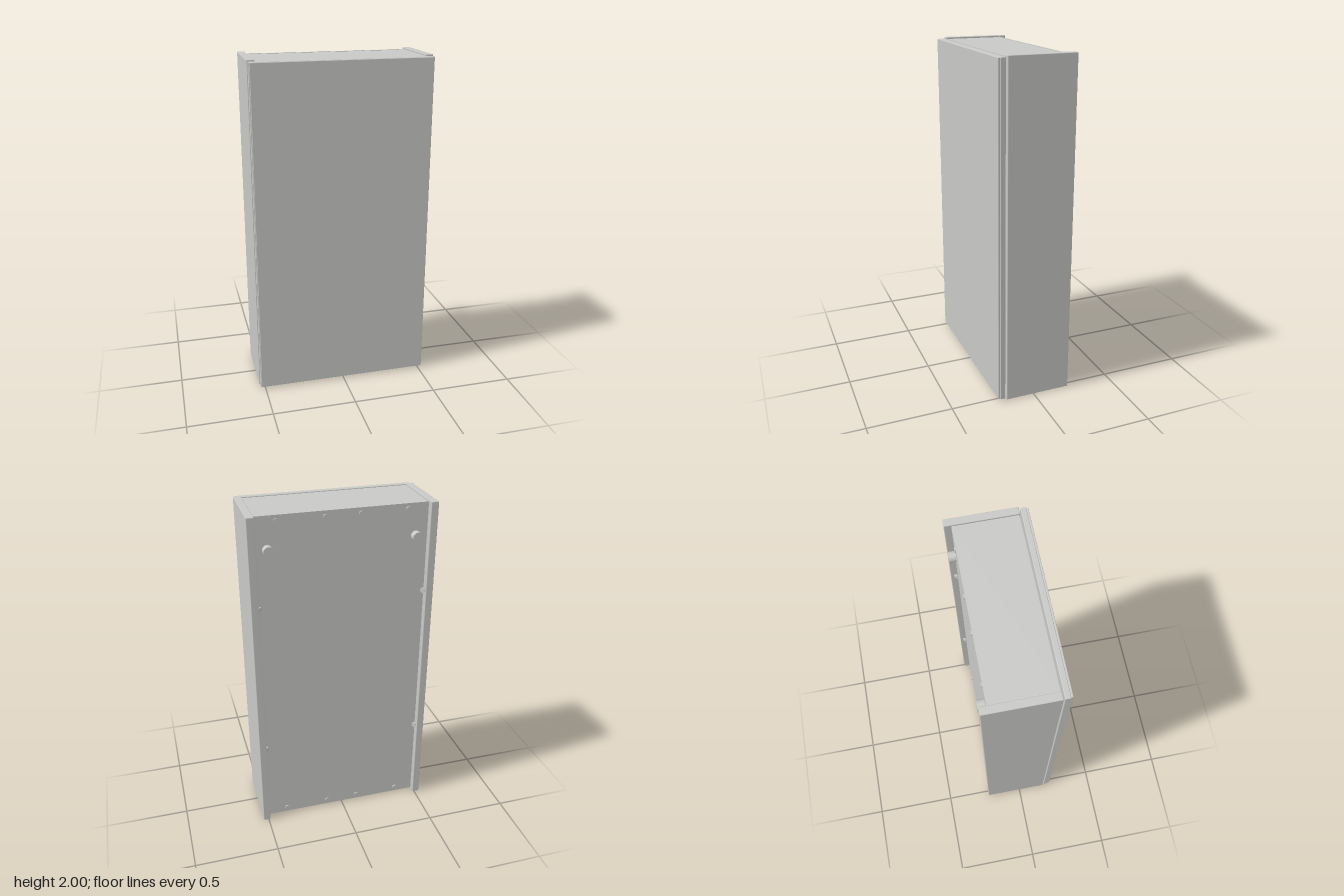
import * as THREE from 'three';
import { RoundedBoxGeometry } from 'three/addons/geometries/RoundedBoxGeometry.js';

export function createModel() {
  const cabinet = new THREE.Group();
  cabinet.name = 'wallCabinet';
  const grey = new THREE.MeshStandardMaterial({ color: 0xc8c8c6 });
  grey.name = 'light grey';

  function add(name, geometry, x, y, z) {
    const mesh = new THREE.Mesh(geometry, grey);
    mesh.name = name;
    mesh.position.set(x, y, z);
    cabinet.add(mesh);
    return mesh;
  }

  // Board given by its lower and upper limits, with softened edges if r > 0
  function board(name, [x0, x1], [y0, y1], [z0, z1], r = 0) {
    const size = [x1 - x0, y1 - y0, z1 - z0];
    const geometry = r ? new RoundedBoxGeometry(...size, 2, r) : new THREE.BoxGeometry(...size);
    return add(name, geometry, (x0 + x1) / 2, (y0 + y1) / 2, (z0 + z1) / 2);
  }

  // Disc or peg whose axis points to the back
  function peg(name, radius, depth, x, y, z) {
    const geometry = new THREE.CylinderGeometry(radius, radius, depth, 24).rotateX(Math.PI / 2);
    return add(name, geometry, x, y, z);
  }

  // Carcass
  board('rightSidePanel', [-0.532, -0.488], [0, 2], [-0.225, 0.172], 0.004);
  board('leftSidePanel', [0.488, 0.532], [0, 2], [-0.225, 0.172], 0.004);
  board('topPanel', [-0.488, 0.488], [1.946, 1.99], [-0.175, 0.168]);
  board('bottomPanel', [-0.488, 0.488], [0.01, 0.054], [-0.175, 0.168]);
  board('backPanel', [-0.505, 0.505], [0.008, 1.992], [-0.186, -0.174]);

  // Door leaf with its front sheet
  board('doorLeaf', [-0.528, 0.528], [0.008, 1.992], [0.18, 0.211], 0.004);
  board('doorFrontSheet', [-0.523, 0.523], [0.01, 1.99], [0.211, 0.222], 0.003);

  // Hinges on the right side
  for (const y of [0.28, 1.72]) board('hinge', [-0.488, -0.41], [y - 0.03, y + 0.03], [0.12, 0.181]);

  for (const side of [-1, 1]) {
    // Wall spacers
    peg('wallSpacer', 0.029, 0.042, side * 0.42, 1.805, -0.205);

    // Screws along the top and bottom of the back
    for (const x of [0.1, 0.37]) {
      for (const y of [0.04, 1.96]) peg('backScrew', 0.014, 0.008, side * x, y, -0.189);
    }

    // Angled screws into the sides
    for (const y of [0.53, 1.47]) {
      const screw = peg('sideScrew', 0.015, 0.01, side * 0.48, y, -0.196);
      screw.rotation.y = side * Math.PI / 4;
    }
  }
  return cabinet;
}
